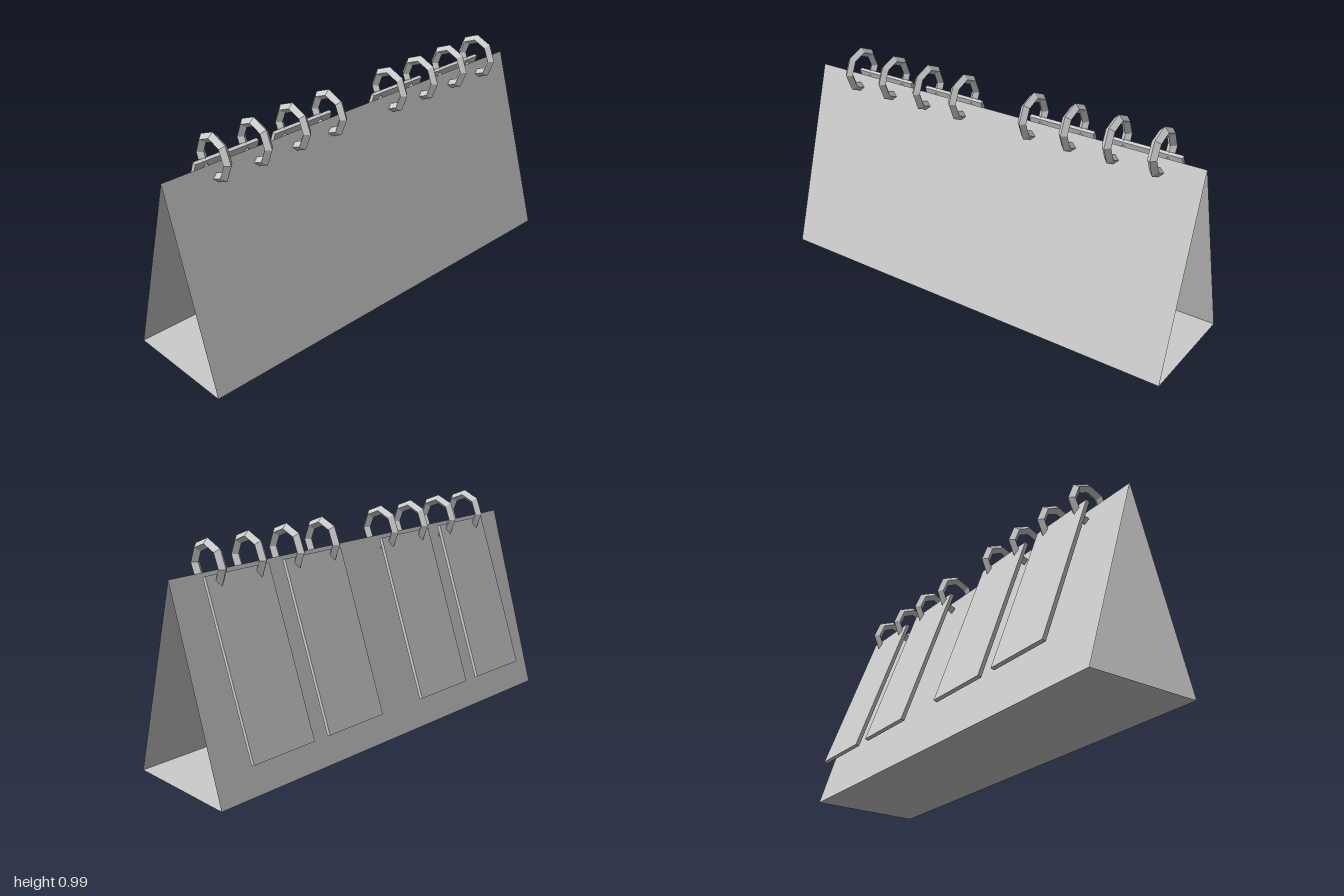
import * as THREE from 'three';

export function createModel() {
  const model = new THREE.Group();
  model.name = 'deskCalendar';
  const solid = new THREE.MeshStandardMaterial({ color: 0xcccccc, flatShading: true });
  const sheet = new THREE.MeshStandardMaterial({ color: 0xcccccc, flatShading: true, side: THREE.DoubleSide });

  const add = (name, geometry, material) => {
    const mesh = new THREE.Mesh(geometry, material);
    mesh.name = name;
    model.add(mesh);
    return mesh;
  };

  // Folded stand: three thin panels forming a tent open at both ends
  const ridge = [0.86, 0.025], front = [0, 0.285], back = [0, -0.24];
  const panel = (name, [y0, z0], [y1, z1]) => {
    const geometry = new THREE.BufferGeometry();
    geometry.setAttribute('position', new THREE.Float32BufferAttribute([
      -1, y0, z0, 1, y0, z0, 1, y1, z1, -1, y1, z1,
    ], 3));
    geometry.setIndex([0, 1, 2, 0, 2, 3]);
    geometry.computeVertexNormals();
    add(name, geometry, sheet);
  };
  panel('frontPanel', front, ridge);
  panel('backPanel', ridge, back);
  panel('basePanel', back, front);

  // Four hanging cards, each held by two faceted rings
  const cardGeometry = new THREE.BoxGeometry(0.315, 0.74, 0.017);
  const ringGeometry = new THREE.TorusGeometry(0.087, 0.021, 4, 8).rotateY(Math.PI / 2);
  [-0.655, -0.255, 0.317, 0.717].forEach((x, i) => {
    const card = add(`card${i + 1}`, cardGeometry, solid);
    card.position.set(x, 0.511, -0.154);
    card.rotation.x = THREE.MathUtils.degToRad(20);
    const ringCentre = x + (i < 2 ? 0 : -0.007);
    for (const side of [-1, 1]) {
      const ring = add(`ring${i + 1}${side < 0 ? 'Right' : 'Left'}`, ringGeometry, solid);
      ring.position.set(ringCentre + side * 0.1, 0.884, 0.026);
    }
  });

  return model;
}
